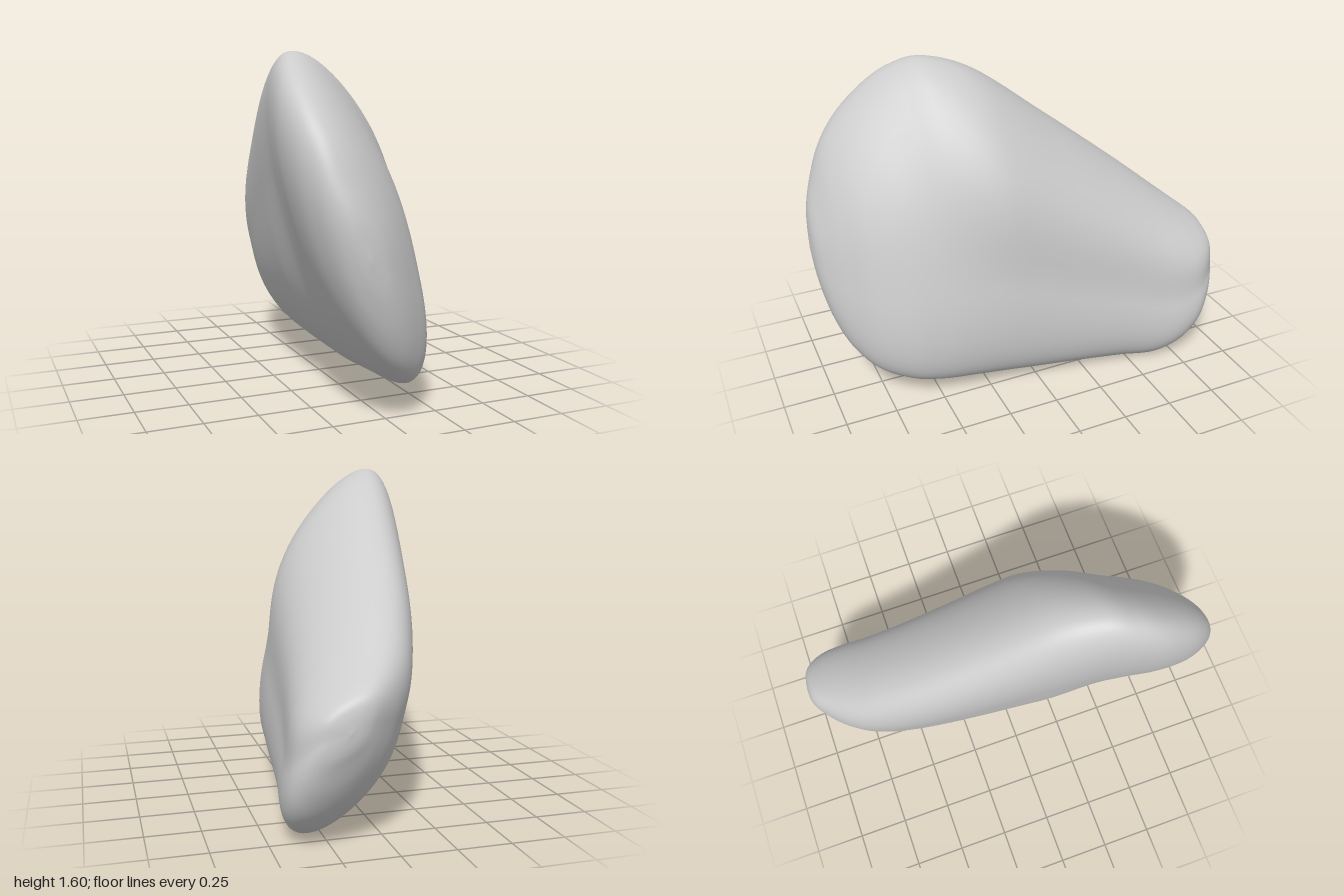
import * as THREE from 'three';
import { mergeVertices } from 'three/addons/utils/BufferGeometryUtils.js';

// Cross-sections from front to back: z, x range, y range
const SECTIONS = [
  [1.0, -0.195, -0.195, 0.75, 0.75],
  [0.985, -0.27, -0.1, 0.58, 0.92],
  [0.945, -0.335, -0.01, 0.405, 1.06],
  [0.88, -0.388, 0.08, 0.265, 1.215],
  [0.78, -0.432, 0.18, 0.165, 1.35],
  [0.64, -0.45, 0.255, 0.108, 1.475],
  [0.5, -0.435, 0.29, 0.08, 1.56],
  [0.35, -0.405, 0.315, 0.065, 1.592],
  [0.12, -0.365, 0.345, 0.045, 1.515],
  [-0.2, -0.3, 0.375, 0.025, 1.28],
  [-0.45, -0.24, 0.402, 0.01, 1.09],
  [-0.63, -0.18, 0.43, 0.0, 0.95],
  [-0.76, -0.12, 0.448, 0.05, 0.845],
  [-0.86, -0.045, 0.44, 0.14, 0.765],
  [-0.93, 0.03, 0.4, 0.255, 0.71],
  [-0.975, 0.095, 0.34, 0.38, 0.665],
  [-0.993, 0.15, 0.28, 0.45, 0.61],
  [-1.0, 0.215, 0.215, 0.53, 0.53],
];

// Extra fullness of a flank, greatest a little above (or below) its middle
const flank = (c, s) => Math.max(0, c) * Math.max(0, 1 - ((s - 0.6) / 0.9) ** 2) ** 2;

function pebbleGeometry(rows = 136, cols = 96) {
  const curve = (a, b) => new THREE.CatmullRomCurve3(
    SECTIONS.map((s) => new THREE.Vector3(s[a], s[b], s[0])), false, 'catmullrom', 0.5);
  const xRange = curve(1, 2);
  const yRange = curve(3, 4);
  const positions = [];
  const index = [];

  for (let i = 0; i <= rows; i++) {
    const px = xRange.getPoint(i / rows);
    const py = yRange.getPoint(i / rows);
    const cx = (px.x + px.y) / 2, w = (px.y - px.x) / 2;
    const cy = (py.x + py.y) / 2, h = (py.y - py.x) / 2;
    // Ovals lean towards -x at the top, more so at the front; behind it the flanks are fuller
    const front = THREE.MathUtils.smoothstep(px.z, 0.1, 0.6);
    const lean = 0.6 + 0.09 * front;
    const upright = Math.sqrt(1 - lean * lean);
    const upper = 0.29 - 0.2 * front, lower = 0.12 - 0.1 * front;

    for (let j = 0; j < cols; j++) {
      const angle = (j / cols) * Math.PI * 2;
      const c = Math.cos(angle), s = Math.sin(angle);
      const bulge = upper * flank(c, s) - lower * flank(-c, -s);
      positions.push(cx + w * (upright * c - lean * s + bulge), cy + h * s, px.z);
      if (i < rows) {
        const a = i * cols + j, b = i * cols + (j + 1) % cols;
        index.push(a, a + cols, b, b, a + cols, b + cols);
      }
    }
  }

  const geometry = new THREE.BufferGeometry();
  geometry.setAttribute('position', new THREE.Float32BufferAttribute(positions, 3));
  geometry.setIndex(index);
  const merged = mergeVertices(geometry, 1e-5);
  merged.computeVertexNormals();
  return merged;
}

export function createModel() {
  const group = new THREE.Group();
  group.name = 'stone';
  const pebble = new THREE.Mesh(
    pebbleGeometry(),
    new THREE.MeshStandardMaterial({ color: 0xcccccc }));
  pebble.name = 'pebble';
  group.add(pebble);
  return group;
}
